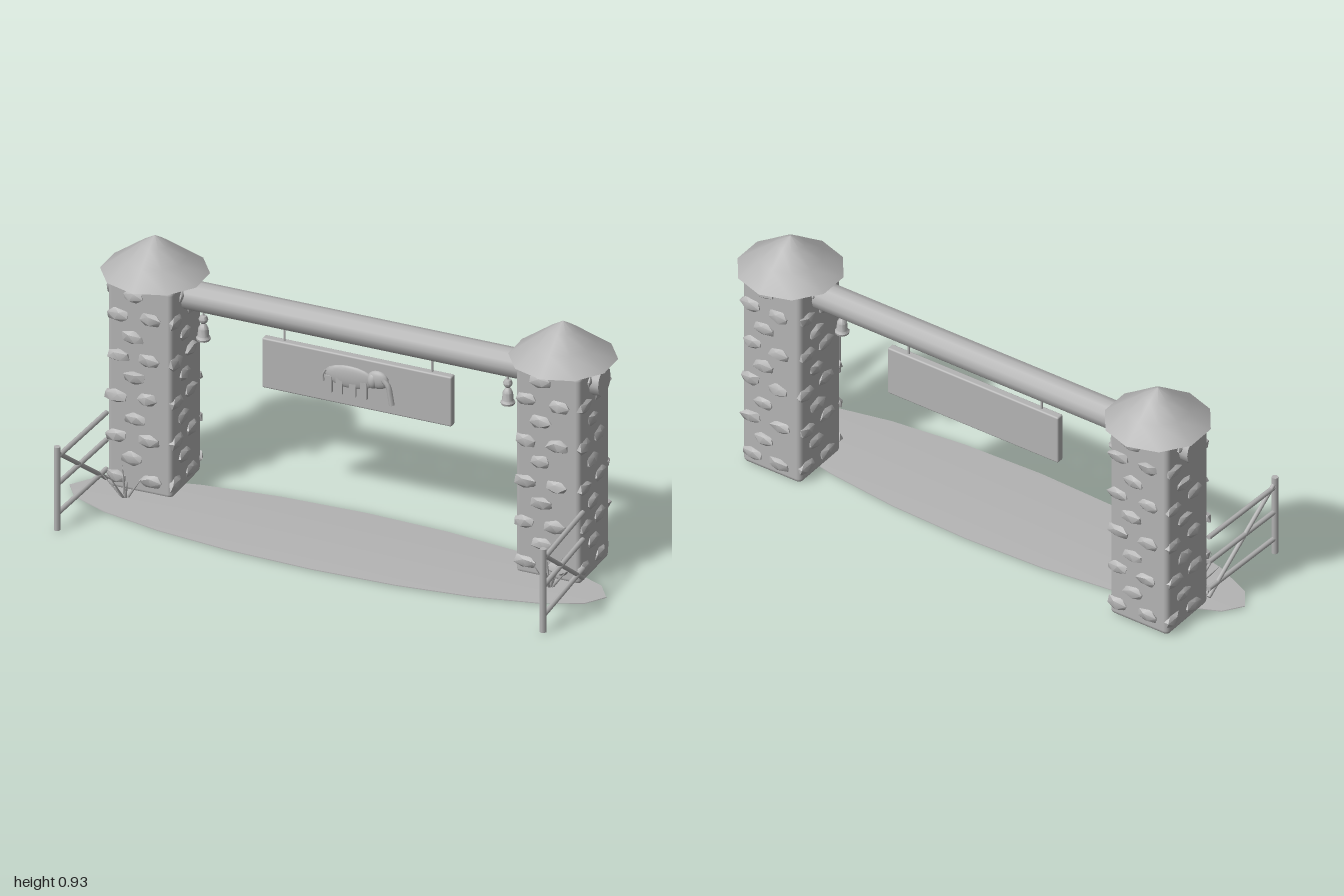
import * as THREE from 'three';
import { mergeVertices, toCreasedNormals } from 'three/addons/utils/BufferGeometryUtils.js';
import { RoundedBoxGeometry } from 'three/addons/geometries/RoundedBoxGeometry.js';

const grey = new THREE.MeshStandardMaterial({ color: 0xb4b4b4 });
grey.name = 'plain grey';

let seed = 7;
const rand = () => (seed = (seed * 16807) % 2147483647) / 2147483647;
const jitter = (a) => (rand() - 0.5) * 2 * a;

function add(parent, name, geometry, x = 0, y = 0, z = 0) {
  const mesh = new THREE.Mesh(geometry, grey);
  mesh.name = name;
  mesh.position.set(x, y, z);
  parent.add(mesh);
  return mesh;
}

// Round bar from a to b, optionally tapering
function bar(parent, name, a, b, r, r2 = r, sides = 8) {
  const p = new THREE.Vector3(...a), q = new THREE.Vector3(...b);
  const d = q.clone().sub(p);
  const g = new THREE.CylinderGeometry(r2, r, d.length(), sides);
  const mesh = add(parent, name, g, ...p.add(q).multiplyScalar(0.5).toArray());
  mesh.quaternion.setFromUnitVectors(new THREE.Vector3(0, 1, 0), d.normalize());
  return mesh;
}

// Lumpy flattened stone, widest along x and proud along z
function stoneGeometry() {
  let g = new THREE.IcosahedronGeometry(1, 0);
  g.deleteAttribute('normal');
  g.deleteAttribute('uv');
  g = mergeVertices(g);
  const p = g.attributes.position;
  for (let i = 0; i < p.count; i++) {
    const k = 1 + jitter(0.14);
    p.setXYZ(i, p.getX(i) * k, p.getY(i) * k, p.getZ(i) * k);
  }
  g.rotateZ(jitter(0.5));
  g.scale(0.046, 0.028, 0.018);
  return toCreasedNormals(g, 0.75);
}

function pillar(root, s) {
  const group = new THREE.Group();
  group.name = s > 0 ? 'leftPillar' : 'rightPillar';
  group.position.set(0.76 * s, 0, -0.148);
  root.add(group);
  add(group, 'pillarBody', new RoundedBoxGeometry(0.242, 0.795, 0.242, 2, 0.018), 0, 0.3975, 0);

  // Staggered stones on all four faces
  for (let face = 0; face < 4; face++) {
    const wall = new THREE.Group();
    wall.name = 'stoneFace';
    wall.rotation.y = face * Math.PI / 2;
    group.add(wall);
    for (let row = 0; row < 10; row++) {
      const spots = row % 2 ? [-0.025] : [-0.085, 0.035];
      for (const x of spots) {
        add(wall, 'stone', stoneGeometry(), x + jitter(0.008), 0.052 + row * 0.0775 + jitter(0.004), 0.119);
      }
    }
  }

  // Ten-sided, slightly bulging roof with a flat underside
  const profile = [[0, 0.796], [0.188, 0.796], [0.113, 0.852], [0.05, 0.9], [0, 0.932]];
  const roof = new THREE.LatheGeometry(profile.map(([r, y]) => new THREE.Vector2(r, y)), 10);
  add(group, 'roof', toCreasedNormals(roof, 0.8), 0, 0, -0.006);
}

function fence(root, s) {
  const group = new THREE.Group();
  group.name = s > 0 ? 'leftFence' : 'rightFence';
  root.add(group);
  const out = 0.905 * s, inner = 0.887 * s;
  bar(group, 'fencePost', [out, 0.004, 0.333], [out, 0.322, 0.333], 0.012);
  for (const y of [0.065, 0.177, 0.281]) {
    bar(group, 'fenceRail', [out, y, 0.333], [inner, y, -0.035], 0.009);
  }
  bar(group, 'fenceBrace', [out, 0.293, 0.325], [inner, 0.03, -0.035], 0.008);
}

function grass(root, s) {
  const group = new THREE.Group();
  group.name = 'grassTuft';
  group.position.set(0.79 * s, 0.004, 0.025);
  root.add(group);
  const tips = [[0.085, 0.1, 0.03], [0.05, 0.115, 0.05], [0.02, 0.105, 0.075],
    [0, 0.12, 0.02], [-0.03, 0.09, 0.05], [-0.065, 0.09, 0.01], [0.03, 0.1, -0.04]];
  for (const [x, y, z] of tips) {
    bar(group, 'grassBlade', [x * s * 0.1, 0, z * 0.1], [x * s, y, z], 0.006, 0.0005, 4);
  }
}

function lantern(root, s) {
  const profile = [[0, 0.586], [0.024, 0.586], [0.026, 0.594], [0.02, 0.602], [0.018, 0.63],
    [0.012, 0.642], [0.006, 0.648], [0.014, 0.656], [0.017, 0.666], [0.012, 0.677], [0, 0.682]];
  const g = new THREE.LatheGeometry(profile.map(([r, y]) => new THREE.Vector2(r, y)), 10);
  add(root, 'lantern', toCreasedNormals(g, 0.7), 0.567 * s, 0, -0.125);
  bar(root, 'lanternHook', [0.567 * s, 0.67, -0.125], [0.567 * s, 0.7, -0.125], 0.004);
}

function sign(root) {
  const group = new THREE.Group();
  group.name = 'hangingSign';
  group.position.z = -0.148;
  root.add(group);
  add(group, 'signBoard', new RoundedBoxGeometry(0.706, 0.19, 0.03, 2, 0.006), 0, 0.54, 0);
  for (const x of [-0.275, 0.275]) {
    bar(group, 'signHanger', [x, 0.625, 0], [x, 0.7, 0], 0.004);
  }

  // Carved elephant relief
  const animal = new THREE.Group();
  animal.name = 'elephantRelief';
  animal.position.z = 0.015;
  group.add(animal);
  const lump = (name, x, y, rx, ry, rz) => {
    add(animal, name, new THREE.SphereGeometry(1, 14, 10), x, y, 0).scale.set(rx, ry, rz);
  };
  lump('elephantBody', -0.025, 0.556, 0.095, 0.042, 0.012);
  lump('elephantHead', 0.08, 0.568, 0.04, 0.034, 0.016);
  lump('elephantEar', 0.062, 0.562, 0.02, 0.03, 0.02);
  for (const x of [-0.1, -0.062, -0.012, 0.03]) {
    add(animal, 'elephantLeg', new THREE.BoxGeometry(0.024, 0.062, 0.016), x, 0.518, 0.002);
  }
  const path = (pts) => new THREE.CatmullRomCurve3(pts.map(([x, y]) => new THREE.Vector3(x, y, 0.006)));
  const trunk = path([[0.1, 0.575], [0.12, 0.555], [0.128, 0.52], [0.134, 0.485]]);
  add(animal, 'elephantTrunk', new THREE.TubeGeometry(trunk, 10, 0.01, 7));
  const tail = path([[-0.112, 0.57], [-0.122, 0.55], [-0.121, 0.525]]);
  add(animal, 'elephantTail', new THREE.TubeGeometry(tail, 6, 0.004, 6));
}

export function createModel() {
  const root = new THREE.Group();
  root.name = 'gateway';

  // Gently domed oval of ground
  const oval = [[0, 0.004], [1, 0.004], [0.999, 0.007], [0.6, 0.011], [0, 0.012]];
  const ground = new THREE.LatheGeometry(oval.map(([r, y]) => new THREE.Vector2(r, y)), 20);
  ground.rotateY(Math.PI / 2);
  ground.scale(1, 1, 0.225);
  add(root, 'ground', toCreasedNormals(ground, 0.6), 0, 0, 0.02);

  // Log beam through both pillars
  const log = new THREE.CylinderGeometry(0.052, 0.052, 1.83, 12);
  log.rotateZ(Math.PI / 2);
  add(root, 'crossBeam', log, 0, 0.734, -0.15);

  for (const s of [-1, 1]) {
    pillar(root, s);
    fence(root, s);
    grass(root, s);
    lantern(root, s);
  }
  sign(root);
  return root;
}
